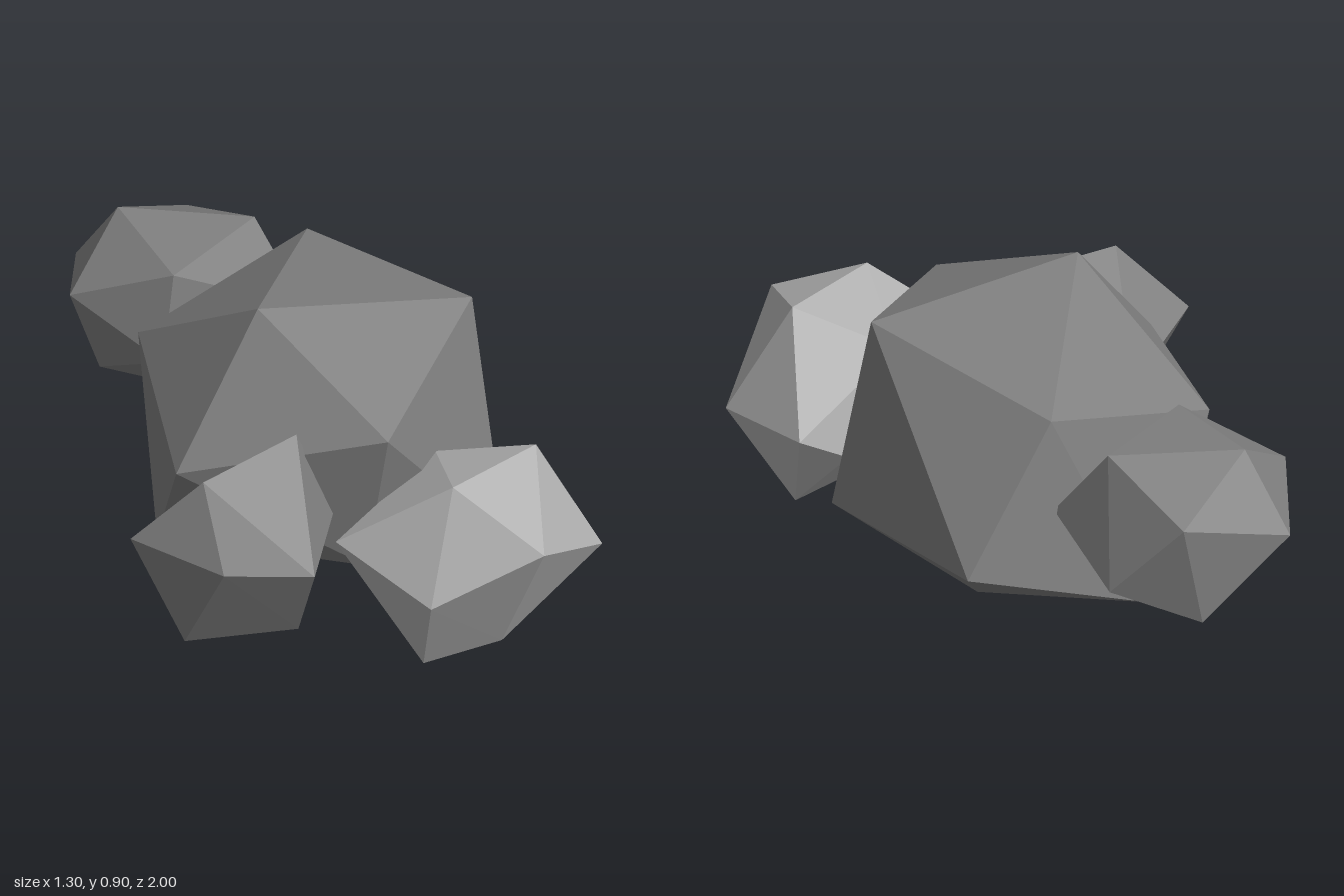
import * as THREE from 'three';
import { ConvexGeometry } from 'three/addons/geometries/ConvexGeometry.js';

const stone = new THREE.MeshStandardMaterial({ color: 0x7f7f7f });
stone.name = 'stone';
const paleStone = new THREE.MeshStandardMaterial({ color: 0xb0b0b0 });
paleStone.name = 'paleStone';

// Faceted boulder: the hull of a few corner points
function rock(name, corners, material) {
  const geometry = new ConvexGeometry(corners.map((c) => new THREE.Vector3(...c)));
  const mesh = new THREE.Mesh(geometry, material);
  mesh.name = name;
  return mesh;
}

export function createModel() {
  const group = new THREE.Group();
  group.name = 'rockCluster';

  // Large central boulder
  group.add(rock('mainRock', [
    [-0.105, 0.9, 0.055], [0.513, 0.815, 0.19], [0.345, 0.735, -0.45], [0.04, 0.68, 0.54],
    [-0.215, 0.58, -0.43], [-0.43, 0.51, 0.16], [0.65, 0.33, -0.475], [0.02, 0.22, 0.45],
    [0.5, 0.125, 0.4], [0.08, 0.11, -0.555], [-0.28, 0.04, -0.21], [0.33, 0.0, -0.07],
  ], stone));

  // Small boulder at the front on the -x side
  group.add(rock('sideRock', [
    [-0.65, 0.435, 0.285], [-0.48, 0.635, 0.4], [-0.16, 0.675, 0.37], [-0.29, 0.425, 0.7],
    [-0.51, 0.425, 0.57], [-0.54, 0.12, 0.4], [-0.28, 0.185, 0.59], [-0.24, 0.12, 0.34],
    [-0.33, 0.38, 0.1], [-0.04, 0.4, 0.38],
  ], stone));

  // Pale boulder at the front
  group.add(rock('frontRock', [
    [0.13, 0.618, 0.75], [0.445, 0.615, 0.67], [0.283, 0.48, 1.0], [-0.13, 0.4, 0.54],
    [-0.01, 0.32, 0.87], [0.6, 0.29, 0.775], [0.04, 0.05, 0.74], [0.26, 0.09, 0.8],
    [0.505, 0.055, 0.57], [0.59, 0.335, 0.43], [0.25, 0.525, 0.44], [0.45, 0.26, 0.39],
    [0.06, 0.23, 0.42],
  ], paleStone));

  // Back boulder
  group.add(rock('backRock', [
    [-0.04, 0.705, -0.85], [0.28, 0.69, -0.635], [-0.06, 0.68, -0.5], [0.235, 0.57, -0.94],
    [-0.09, 0.48, -1.0], [0.37, 0.34, -0.77], [-0.265, 0.55, -0.73], [0.17, 0.255, -0.94],
    [-0.185, 0.3, -0.7], [-0.02, 0.255, -0.59], [0.35, 0.46, -0.47], [-0.11, 0.42, -0.47],
    [0.2, 0.27, -0.51],
  ], stone));

  return group;
}
